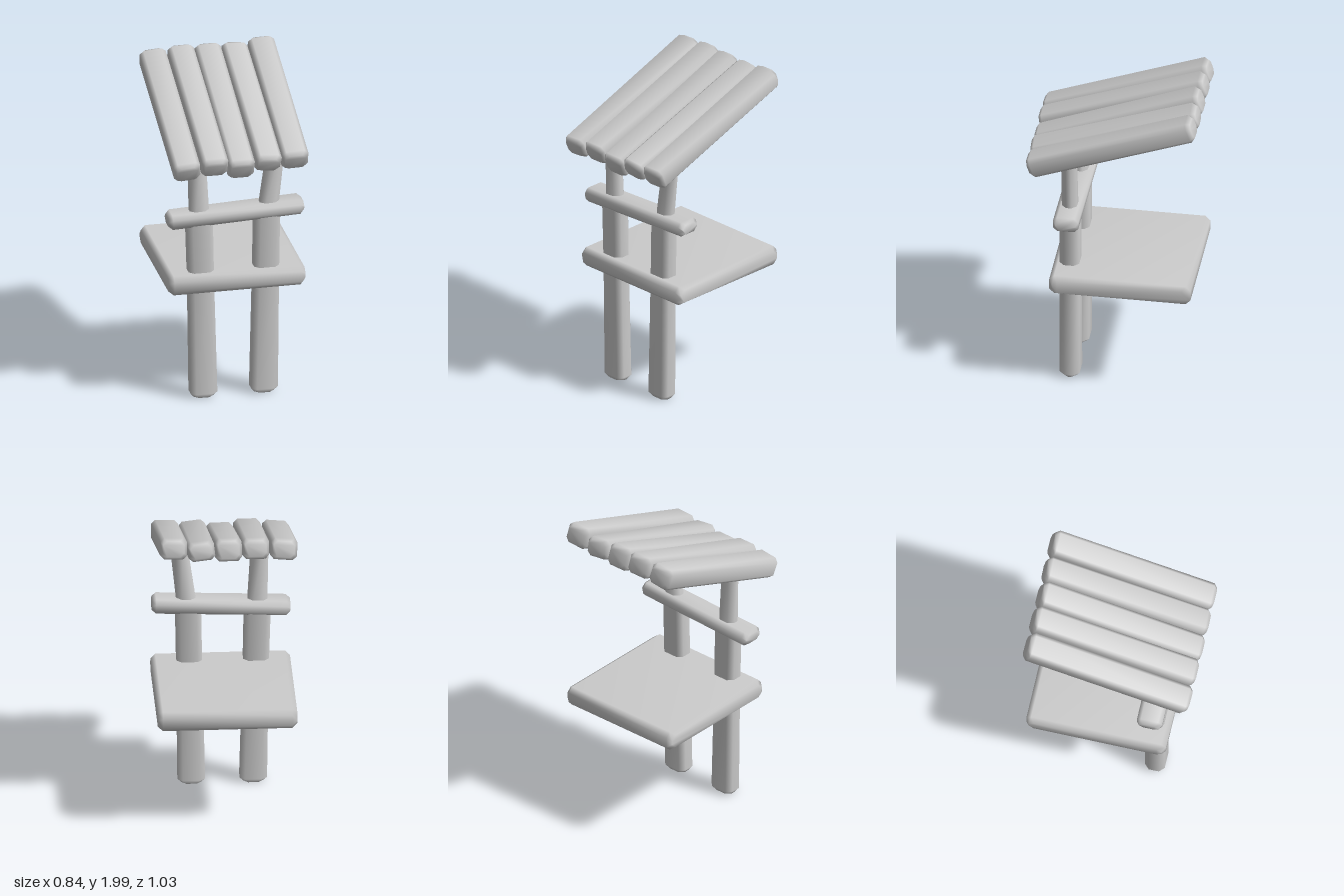
import * as THREE from 'three';

const material = new THREE.MeshStandardMaterial({ color: 0xcccccc, side: THREE.DoubleSide });

// Chamfered beam along y. Each section is [y, centre x, centre z, width, depth].
function beam(name, sections, c) {
  const first = sections[0], last = sections[sections.length - 1];
  const inset = ([y, x, z, w, d]) => [y, x, z, w - 1.4 * c, d - 1.4 * c];
  const inward = (s, dy) => [s[0] + dy, s[1], s[2], s[3], s[4]];
  const rings = [inset(first), inward(first, c), ...sections.slice(1, -1), inward(last, -c), inset(last)];
  const pos = [], index = [];
  for (const [y, x, z, w, d] of rings) {
    const a = w / 2, b = d / 2;
    const corners = [[a, b - c], [a, c - b], [a - c, -b], [c - a, -b], [-a, c - b], [-a, b - c], [c - a, b], [a - c, b]];
    for (const [u, v] of corners) pos.push(x + u, y, z + v);
  }
  for (let k = 0; k < rings.length - 1; k++) {
    for (let i = 0; i < 8; i++) {
      const p = k * 8 + i, q = k * 8 + (i + 1) % 8;
      index.push(p, q, q + 8, p, q + 8, p + 8);
    }
  }
  const top = (rings.length - 1) * 8;
  for (let i = 1; i < 7; i++) index.push(0, i + 1, i, top, top + i, top + i + 1);
  const g = new THREE.BufferGeometry();
  g.setAttribute('position', new THREE.Float32BufferAttribute(pos, 3));
  g.setIndex(index);
  g.computeVertexNormals();
  const mesh = new THREE.Mesh(g, material);
  mesh.name = name;
  return mesh;
}

// Straight beam centred on its own origin
const bar = (name, length, w, d, c) =>
  beam(name, [[-length / 2, 0, 0, w, d], [length / 2, 0, 0, w, d]], c);

export function createModel() {
  const group = new THREE.Group();

  // Posts: broad below the rail, slimmer and leaning above it
  group.add(beam('rightPost', [
    [0, -0.195, 0.27, 0.165, 0.122],
    [0.76, -0.21, 0.27, 0.155, 0.12],
    [1.16, -0.22, 0.27, 0.16, 0.12],
    [1.2, -0.22, 0.27, 0.12, 0.092],
    [1.62, -0.235, 0.27, 0.105, 0.09],
  ], 0.03));
  group.add(beam('leftPost', [
    [0, 0.178, 0.27, 0.165, 0.122],
    [0.76, 0.19, 0.27, 0.155, 0.12],
    [1.16, 0.197, 0.27, 0.155, 0.12],
    [1.2, 0.207, 0.27, 0.12, 0.092],
    [1.62, 0.255, 0.27, 0.105, 0.09],
  ], 0.03));

  // Seat slab, running across x
  const seat = bar('seat', 0.84, 0.125, 0.86, 0.03);
  seat.rotation.z = -Math.PI / 2;
  seat.position.set(0, 0.762, -0.06);
  group.add(seat);

  // Crooked cross rail
  const rail = bar('crossRail', 0.835, 0.092, 0.155, 0.025);
  rail.rotation.z = -Math.PI / 2 + 0.042;
  rail.position.set(0, 1.183, 0.27);
  group.add(rail);

  // Sloping roof planks: x, centre y, slope, roll, thickness
  const planks = [
    [-0.338, 1.735, 0.352, -0.09, 0.13],
    [-0.168, 1.748, 0.345, 0.0, 0.13],
    [-0.004, 1.732, 0.365, 0.0, 0.14],
    [0.16, 1.744, 0.335, 0.11, 0.12],
    [0.327, 1.755, 0.35, -0.03, 0.13],
  ];
  planks.forEach(([x, y, slope, roll, thick], i) => {
    const plank = bar('roofPlank' + (i + 1), 1.06, 0.161, thick, 0.024);
    plank.rotation.set(slope - Math.PI / 2, roll, 0);
    plank.position.set(x, y, 0);
    group.add(plank);
  });

  return group;
}
